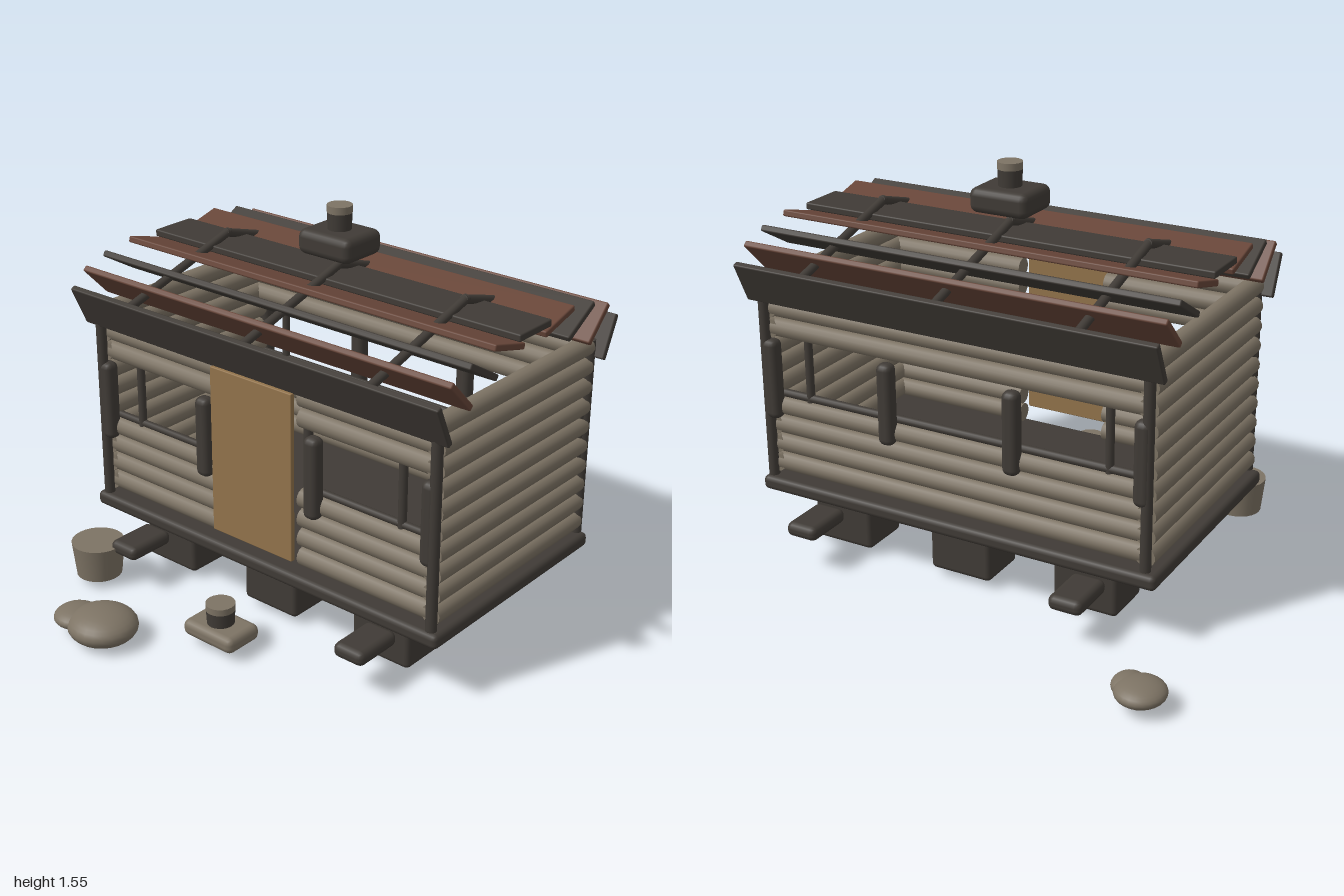
import * as THREE from 'three';
import { RoundedBoxGeometry } from 'three/addons/geometries/RoundedBoxGeometry.js';

export function createModel() {
  const mat = (name, color, side = THREE.FrontSide) => {
    const m = new THREE.MeshStandardMaterial({ color, side });
    m.name = name;
    return m;
  };
  const pale = mat('weathered wood and stone', 0x7d7364);
  const dark = mat('dark timber', 0x403b36);
  const brown = mat('red brown board', 0x684639);
  const tan = mat('tan door wood', 0x92734b);

  const model = new THREE.Group();
  model.name = 'logCabin';
  const CX = 0.09, CZ = -0.073; // centre of the cabin

  const add = (name, geo, material, x, y, z, parent = model) => {
    const m = new THREE.Mesh(geo, material);
    m.name = name;
    m.position.set(x, y, z);
    parent.add(m);
    return m;
  };
  const box = (name, material, w, h, d, x, y, z, r = 0.015, parent = model) =>
    add(name, new RoundedBoxGeometry(w, h, d, 2, r), material, x, y, z, parent);
  const group = (name) => {
    const g = new THREE.Group();
    g.name = name;
    model.add(g);
    return g;
  };
  // round rod between two points
  const rod = (name, material, a, b, r, parent) => {
    const p = new THREE.Vector3(...a), q = new THREE.Vector3(...b);
    const dir = q.clone().sub(p);
    const mid = p.clone().add(q).multiplyScalar(0.5);
    const m = add(name, new THREE.CylinderGeometry(r, r, dir.length(), 14), material, mid.x, mid.y, mid.z, parent);
    m.quaternion.setFromUnitVectors(new THREE.Vector3(0, 1, 0), dir.normalize());
    return m;
  };

  // floor and footings
  box('floor', dark, 1.695, 0.058, 0.99, CX, 0.27, CZ, 0.02);
  for (const x of [-0.44, 0.09, 0.625])
    for (const z of [0.225, -0.375]) box('footing', dark, 0.26, 0.19, 0.21, x, 0.135, z, 0.02);
  for (const x of [-0.475, 0.66])
    for (const z of [0.46, -0.605]) box('beamEnd', dark, 0.135, 0.058, 0.21, x, 0.18, z, 0.025);

  // log walls
  const walls = group('walls');
  const R = 0.0385;
  for (let i = 0; i < 10; i++) {
    const y = 0.355 + i * 0.08;
    for (const x of [-0.703, 0.887]) rod('sideLog', pale, [x, y, -0.532], [x, y, 0.386], R, walls);
    if (i > 3 && i < 7) continue; // window band
    rod('backLog', pale, [-0.7, y, -0.5], [0.88, y, -0.5], R, walls);
    rod('frontLog', pale, [-0.7, y, 0.352], [-0.1, y, 0.352], R, walls);
    rod('frontLog', pale, [0.28, y, 0.352], [0.88, y, 0.352], R, walls);
  }
  for (const x of [-0.708, 0.9])
    for (const z of [0.398, -0.538]) rod('cornerPost', dark, [x, 0.305, z], [x, 1.1, z], 0.021, walls);

  // window posts, mullions and sills
  const windows = group('windows');
  for (const [wall, out] of [[0.352, 0.388], [-0.5, -0.533]]) {
    for (const x of [-0.69, -0.172, 0.358, 0.877]) box('windowPost', dark, 0.065, 0.325, 0.062, x, 0.712, out, 0.025, windows);
    for (const x of [-0.545, 0.73]) rod('mullion', dark, [x, 0.62, wall], [x, 0.89, wall], 0.016, windows);
  }
  for (const x of [-0.118, 0.305]) rod('doorJamb', dark, [x, 0.62, 0.352], [x, 0.89, 0.352], 0.018, windows);
  rod('backSill', dark, [-0.68, 0.645, -0.5], [0.87, 0.645, -0.5], 0.016, windows);
  rod('frontSill', dark, [-0.68, 0.643, 0.352], [-0.12, 0.643, 0.352], 0.014, windows);
  rod('frontSill', dark, [0.3, 0.643, 0.352], [0.87, 0.643, 0.352], 0.014, windows);

  // door board
  box('door', tan, 0.39, 0.67, 0.02, 0.094, 0.695, 0.42, 0.004);

  // roof: boards tilted up and outward across the rafters, [inner offset, y, outer offset, y]
  const roof = group('roof');
  const boards = [
    [0.07, 1.255, 0.238, 1.3, brown],
    [0.225, 1.19, 0.375, 1.277, dark],
    [0.368, 1.13, 0.478, 1.243, brown],
    [0.478, 1.035, 0.545, 1.182, dark],
  ];
  for (const s of [1, -1]) {
    for (const [d1, y1, d2, y2, m] of boards) {
      const dz = d2 - d1, dy = y2 - y1;
      const b = box('roofBoard', m, 1.73, 0.025, Math.hypot(dz, dy) + 0.012, CX + 0.002, (y1 + y2) / 2, CZ + s * (d1 + d2) / 2, 0.006, roof);
      b.rotation.x = -s * Math.atan2(dy, dz);
    }
    for (const x of [-0.473, 0.092, 0.66])
      rod('rafter', dark, [x, 1.334, CZ - s * 0.01], [x, 1.172, CZ + s * 0.54], 0.017, roof);
  }
  box('ridgeBoard', dark, 1.73, 0.028, 0.195, CX + 0.002, 1.29, CZ, 0.006, roof);

  // chimney, and its fallen twin in front
  const chimney = (name, x, z, y0, baseH, baseMat, potR, potH, capH, w, d) => {
    const g = group(name);
    box('base', baseMat, w, baseH, d, x, y0 + baseH / 2, z, Math.min(0.03, baseH * 0.4), g);
    const y1 = y0 + baseH;
    add('pot', new THREE.CylinderGeometry(potR, potR * 0.95, potH, 20), dark, x, y1 + potH / 2, z, g);
    add('cap', new THREE.CylinderGeometry(potR * 1.02, potR * 1.02, capH, 20), pale, x, y1 + potH + capH / 2, z, g);
  };
  chimney('chimney', 0.092, -0.073, 1.372, 0.096, dark, 0.047, 0.064, 0.028, 0.245, 0.208);
  chimney('fallenChimney', 0.092, 0.603, 0.045, 0.065, pale, 0.055, 0.056, 0.026, 0.245, 0.168);

  // bucket
  add('bucket', new THREE.CylinderGeometry(0.105, 0.09, 0.14, 24), pale, -0.615, 0.11, 0.56);

  // rocks: squashed spheres [x, y, z, rx, ry, rz]
  const rocks = [
    [-0.27, 0.075, 0.862, 0.137, 0.066, 0.132],
    [-0.385, 0.08, 0.885, 0.088, 0.038, 0.09],
    [-0.872, 0.078, -0.905, 0.092, 0.041, 0.095],
    [-0.815, 0.076, -0.88, 0.058, 0.034, 0.07],
  ];
  for (const [x, y, z, rx, ry, rz] of rocks)
    add('rock', new THREE.SphereGeometry(1, 24, 16), pale, x, y, z).scale.set(rx, ry, rz);

  // two stacked hoops under the floor
  for (const [r, y] of [[0.112, 0.06], [0.092, 0.083]]) {
    const hoop = add('hoop', new THREE.TorusGeometry(r, 0.016, 10, 32), pale, 0.548, y, -0.14);
    hoop.rotation.x = Math.PI / 2;
    hoop.scale.z = 0.8;
  }
  return model;
}
